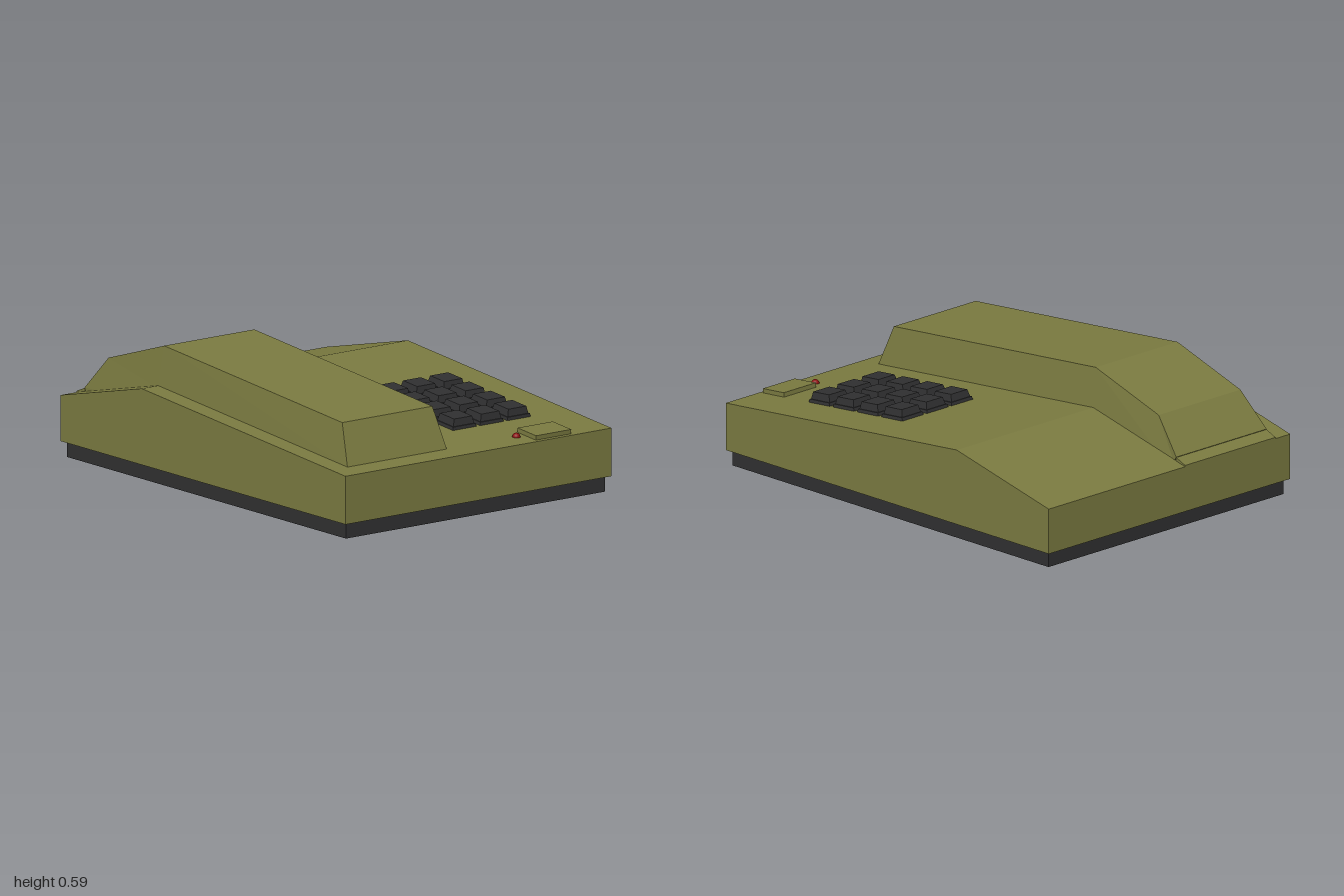
import * as THREE from 'three';

const olive = new THREE.MeshStandardMaterial({ color: 0x7a7a40 });
const dark = new THREE.MeshStandardMaterial({ color: 0x303031 });
const red = new THREE.MeshStandardMaterial({ color: 0x8b1010 });

const SLOPE = (0.41 - 0.285) / 1.43;
const deckY = (z) => 0.285 + (1 - z) * SLOPE; // height of the front deck

function add(parent, name, geometry, material) {
  const mesh = new THREE.Mesh(geometry, material);
  mesh.name = name;
  parent.add(mesh);
  return mesh;
}

// Side profile of [z, y] points, extruded from x0 to x1
function prism(points, x0, x1) {
  const shape = new THREE.Shape(points.map(([z, y]) => new THREE.Vector2(z, y)));
  const g = new THREE.ExtrudeGeometry(shape, { depth: x1 - x0, bevelEnabled: false });
  return g.rotateY(-Math.PI / 2).translate(x1, 0, 0);
}

// Box standing on y = 0 whose top is inset on all sides
function taperedBox(w, h, d, inset) {
  const g = new THREE.BoxGeometry(w, h, d).translate(0, h / 2, 0);
  const p = g.attributes.position;
  for (let i = 0; i < p.count; i++) {
    if (p.getY(i) > h / 2) {
      p.setX(i, p.getX(i) - Math.sign(p.getX(i)) * inset);
      p.setZ(i, p.getZ(i) - Math.sign(p.getZ(i)) * inset);
    }
  }
  const flat = g.toNonIndexed();
  flat.computeVertexNormals();
  return flat;
}

// Place a mesh or group on the sloping front deck
function onDeck(object, x, z) {
  object.position.set(x, deckY(z), z);
  object.rotation.x = Math.atan(SLOPE);
}

function createHousing(root) {
  const housing = new THREE.Group();
  housing.name = 'housing';
  root.add(housing);
  const outer = [[1, 0.07], [1, 0.285], [-0.43, 0.41], [-1, 0.275], [-1, 0.07]];
  const inner = [[-0.97, 0.07], [-0.97, 0.26], [-0.43, 0.385], [0.97, 0.262], [0.97, 0.07]];
  add(housing, 'shell', prism([...outer, ...inner], -0.705, 0.705), olive);
  for (const s of [-1, 1]) {
    add(housing, 'sidePanel', prism(outer, Math.min(s * 0.705, s * 0.735), Math.max(s * 0.705, s * 0.735)), olive);
  }
  // Raised lip behind the handset
  add(housing, 'rearLip', prism([[-0.94, 0.28], [-0.945, 0.304], [-1, 0.281], [-1, 0.27]], -0.645, -0.095), olive);
}

function createBase(root) {
  const frame = new THREE.Shape();
  frame.moveTo(-0.715, -0.978).lineTo(0.715, -0.978).lineTo(0.715, 0.978).lineTo(-0.715, 0.978).closePath();
  const hole = new THREE.Path();
  hole.moveTo(-0.685, -0.948).lineTo(-0.685, 0.948).lineTo(0.685, 0.948).lineTo(0.685, -0.948).closePath();
  frame.holes.push(hole);
  const g = new THREE.ExtrudeGeometry(frame, { depth: 0.075, bevelEnabled: false });
  add(root, 'baseFrame', g.rotateX(-Math.PI / 2), dark);
}

function createCradle(root) {
  // Underside of the handset wells and the shallow channel between them
  const wells = [[0.9, 0.28], [0.9, 0.07], [0.79, 0.07], [0.77, 0.1], [0.28, 0.1], [0.28, 0.27],
    [-0.44, 0.32], [-0.44, 0.13], [-0.94, 0.13], [-0.94, 0.275], [-0.43, 0.395]];
  add(root, 'handsetCradle', prism(wells, -0.645, -0.095), olive);
  const cheek = [[0.9, 0.27], [0.9, 0.07], [0.77, 0.1], [0.28, 0.24], [0.28, 0.33]];
  add(root, 'cradleCheek', prism(cheek, -0.095, -0.09), dark);
}

function createHandset(root) {
  // Cross-sections from front to back: bottom [z, y] and top [z, y]
  const sections = [
    [0.9, 0.29, 0.83, 0.476],
    [-0.43, 0.4, -0.42, 0.586],
    [-0.82, 0.31, -0.81, 0.46],
    [-0.93, 0.28, -0.945, 0.306],
  ];
  const rings = sections.map(([zb, yb, zt, yt], i) => {
    const inset = i === 3 ? 0 : 0.026;
    return [
      [-0.645, yb, zb], [-0.645 + inset, yt, zt],
      [-0.095 - inset, yt, zt], [-0.095, yb, zb],
    ];
  });
  const pos = [];
  const quad = (a, b, c, d) => pos.push(...a, ...b, ...c, ...a, ...c, ...d);
  for (let i = 0; i < rings.length - 1; i++) {
    for (let j = 0; j < 4; j++) {
      const k = (j + 1) % 4;
      quad(rings[i][j], rings[i][k], rings[i + 1][k], rings[i + 1][j]);
    }
  }
  const [f, b] = [rings[0], rings[rings.length - 1]];
  quad(f[0], f[3], f[2], f[1]);
  quad(b[0], b[1], b[2], b[3]);
  const g = new THREE.BufferGeometry();
  g.setAttribute('position', new THREE.Float32BufferAttribute(pos, 3));
  g.computeVertexNormals();
  add(root, 'handset', g, olive);
}

function createKeypad(root) {
  const keypad = new THREE.Group();
  keypad.name = 'keypad';
  root.add(keypad);
  for (let row = 0; row < 4; row++) {
    for (let col = 0; col < 3; col++) {
      const key = new THREE.Group();
      key.name = 'key';
      add(key, 'keyBase', taperedBox(0.13, 0.014, 0.13, 0.003), dark);
      add(key, 'keyCap', taperedBox(0.115, 0.034, 0.115, 0.008), dark).position.y = 0.012;
      onDeck(key, 0.16 + col * 0.15, 0.185 + row * 0.15);
      keypad.add(key);
    }
  }
}

export function createModel() {
  const root = new THREE.Group();
  root.name = 'deskTelephone';
  createHousing(root);
  createBase(root);
  createCradle(root);
  createHandset(root);
  createKeypad(root);

  // Label plate and indicator lamp at the front edge
  const plate = add(root, 'labelPlate', new THREE.BoxGeometry(0.195, 0.04, 0.13), olive);
  onDeck(plate, 0.428, 0.917);
  const lamp = add(root, 'indicatorLamp',
    new THREE.SphereGeometry(0.018, 16, 8, 0, Math.PI * 2, 0, Math.PI / 2), red);
  onDeck(lamp, 0.285, 0.903);
  return root;
}
